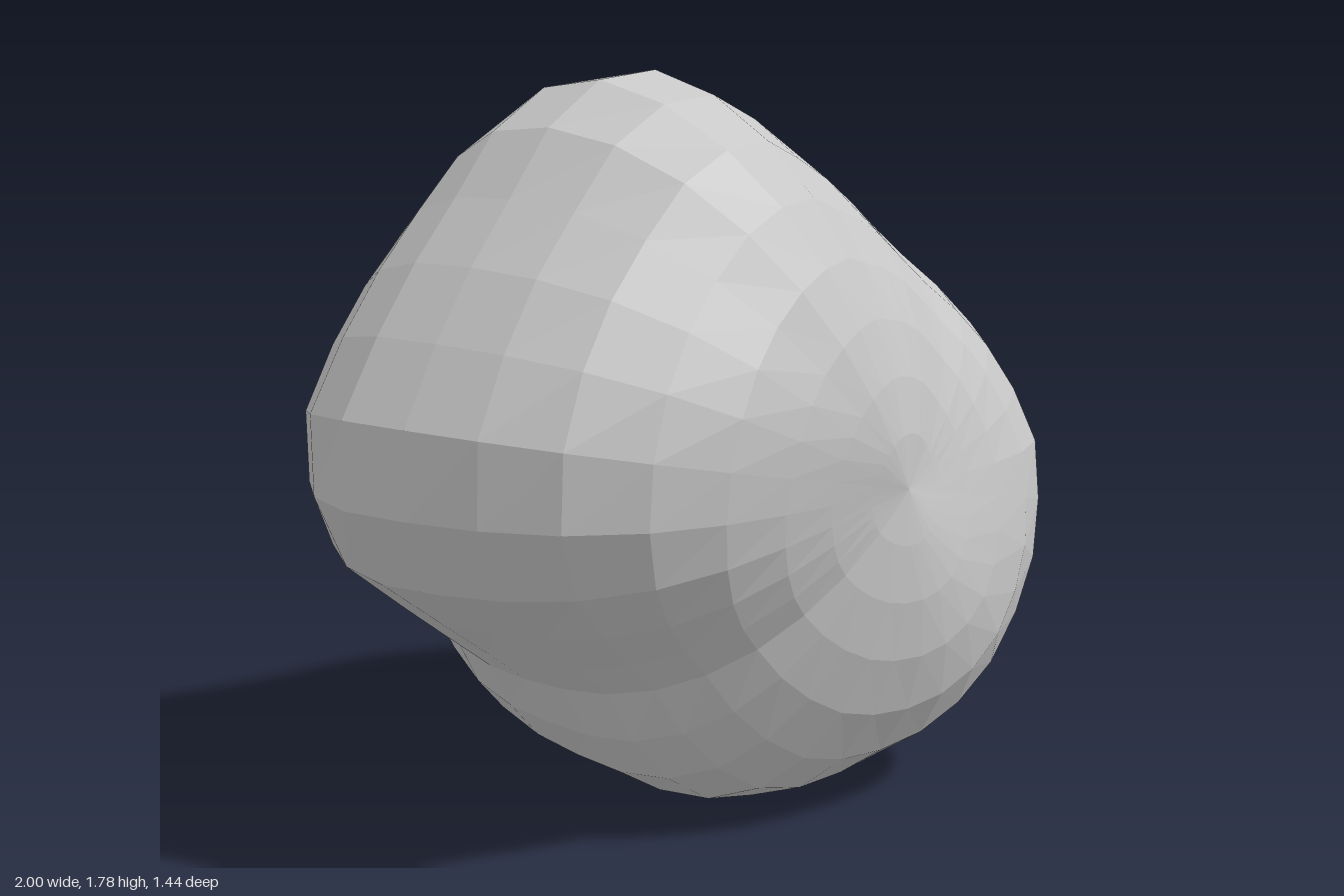
import * as THREE from 'three';

// Outline radius every 11.25 degrees, counter-clockwise from +x
const OUTLINE = [
  0.992, 0.935, 0.875, 0.805, 0.755, 0.73, 0.74, 0.79,
  0.88, 0.96, 0.995, 0.98, 0.94, 0.945, 0.97, 1.018,
  1.0, 0.918, 0.79, 0.717, 0.685, 0.735, 0.785, 0.82,
  0.832, 0.83, 0.855, 0.885, 0.92, 0.955, 0.985, 1.0,
];
// Fullness of the bulge every 22.5 degrees (2 = elliptical, more = boxier)
const FRONT_FULLNESS = [3.5, 2.8, 2.3, 2.1, 1.75, 1.9, 2.3, 3.0, 3.1, 2.9, 2.4, 2.3, 2.4, 2.8, 3.3, 3.6];
const BACK_FULLNESS = [2.35, 2.1, 1.9, 1.9, 1.75, 1.8, 2.0, 1.9, 1.8, 2.0, 2.4, 2.9, 3.2, 3.4, 3.4, 2.8];
const FRONT_DEPTH = 0.69, BACK_DEPTH = 0.708, CENTRE_Y = 0.84;

// Sample a closed table at a fraction of a turn
function sample(table, turn) {
  const t = (((turn % 1) + 1) % 1) * table.length;
  const i = Math.floor(t), f = t - i;
  return THREE.MathUtils.lerp(table[i % table.length], table[(i + 1) % table.length], f);
}

// Distance from the centre to the surface along a unit direction
function surfaceRadius(d) {
  const angle = Math.atan2(d.y, d.x), turn = angle / (2 * Math.PI);
  const c = Math.hypot(d.x, d.y);
  const n = sample(d.z > 0 ? FRONT_FULLNESS : BACK_FULLNESS, turn);
  // Two shallow lobes on the front with a valley between them
  const depth = d.z > 0 ? FRONT_DEPTH + 0.07 * c * Math.cos(2 * (angle - 2.65)) : BACK_DEPTH;
  const bulge = Math.pow(Math.pow(c / sample(OUTLINE, turn), n) + Math.pow(Math.abs(d.z) / depth, n), -1 / n);
  // Top and bottom lean forward, the sides lean back
  return bulge * (1 - 0.13 * Math.cos(2 * angle) * d.z * c);
}

export function createModel() {
  const group = new THREE.Group();
  group.name = 'rock';

  const stone = new THREE.MeshStandardMaterial({ color: 0xc8c8c8, flatShading: true });
  stone.name = 'grey stone';

  // Faceted boulder: a sphere with its poles front and back, pushed to the rock's outline
  const geometry = new THREE.SphereGeometry(1, 32, 17).rotateX(Math.PI / 2);
  const position = geometry.attributes.position;
  const v = new THREE.Vector3();
  for (let i = 0; i < position.count; i++) {
    v.fromBufferAttribute(position, i).normalize();
    v.multiplyScalar(surfaceRadius(v));
    position.setXYZ(i, v.x, v.y + CENTRE_Y, v.z);
  }
  geometry.computeVertexNormals();

  // Rest the lowest point on the ground
  geometry.computeBoundingBox();
  geometry.translate(0, -geometry.boundingBox.min.y, 0);

  const boulder = new THREE.Mesh(geometry, stone);
  boulder.name = 'boulder';
  group.add(boulder);
  return group;
}
